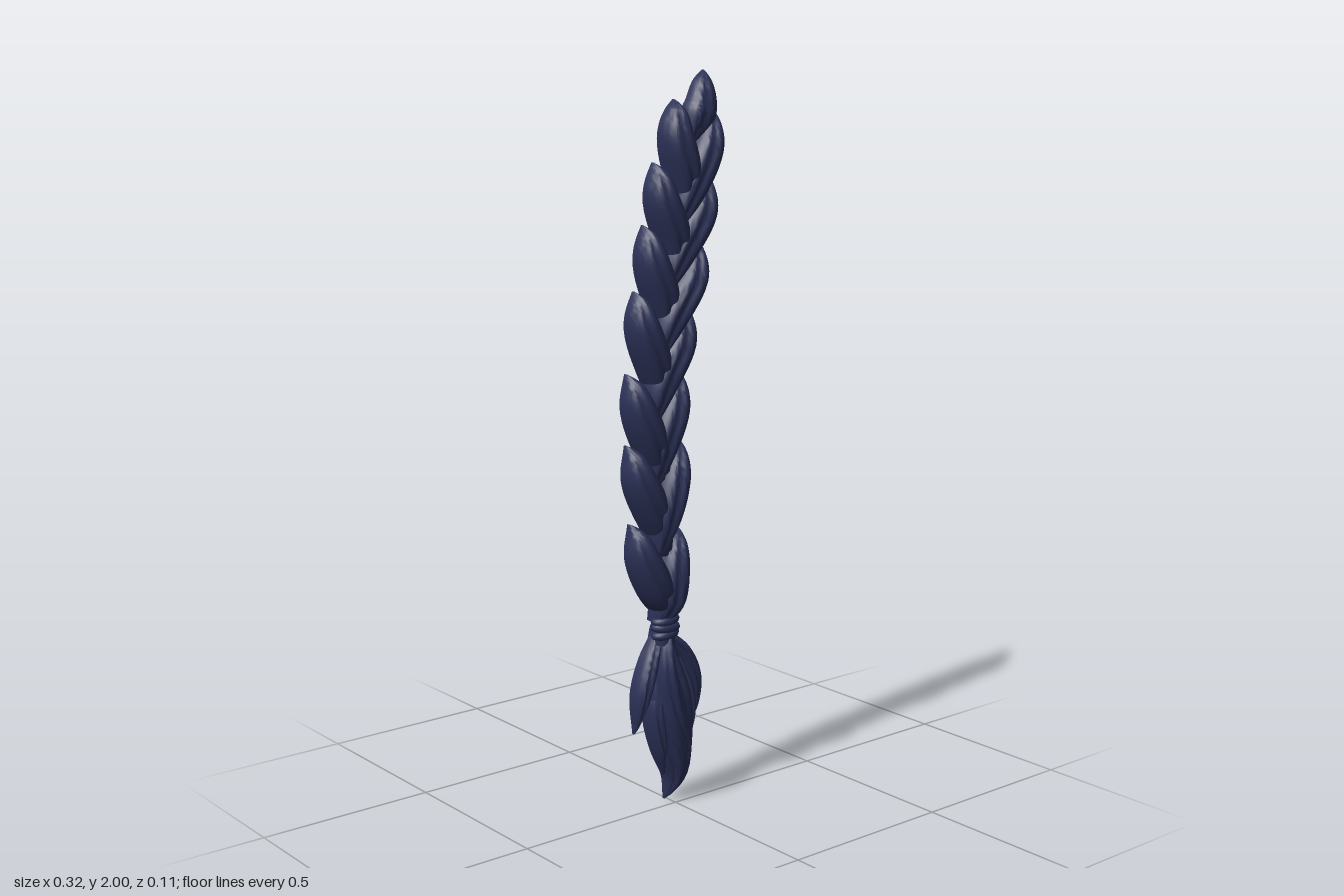
import * as THREE from 'three';
import { toCreasedNormals } from 'three/addons/utils/BufferGeometryUtils.js';

const hair = new THREE.MeshStandardMaterial({ color: 0x2b3157 });
hair.name = 'navy hair';

// A lock of hair: D-shaped sections (flat back, grooved dome in front) swept along [x, y, halfWidth] points
function lock(name, points, { back = -0.036, height = 0.08, grooves = 2, bulge = 0.004 } = {}) {
  const curve = new THREE.CatmullRomCurve3(points.map(p => new THREE.Vector3(...p)));
  const steps = 24, arc = 22, ring = arc + 2;
  const widest = Math.max(...points.map(p => p[2]));
  const pos = [], index = [];
  for (let i = 0; i <= steps; i++) {
    const t = i / steps;
    const p = curve.getPoint(t), d = curve.getTangent(t);
    const len = Math.hypot(d.x, d.y) || 1;
    const sx = -d.y / len, sy = d.x / len;
    const w = Math.max(p.z, 0.0008);
    const h = height * Math.min(1.05, Math.pow(w / widest, 0.6));
    for (let j = 0; j <= arc; j++) {
      const a = j / arc * Math.PI;
      const cut = Math.pow(Math.abs(Math.sin(grooves * a + 1.2 * t + 0.5)), 8);
      const u = w * Math.cos(a);
      const z = back + h * Math.pow(Math.max(0, Math.sin(a)), 0.75) * (1 - 0.12 * cut);
      pos.push(p.x + sx * u, p.y + sy * u, z);
    }
    // shallow ridge along the back
    pos.push(p.x, p.y, back - bulge * w / widest);
  }
  for (let i = 0; i < steps; i++) {
    for (let j = 0; j < ring; j++) {
      const a = i * ring + j, b = i * ring + (j + 1) % ring;
      index.push(a, b, a + ring, b, b + ring, a + ring);
    }
  }
  const geo = new THREE.BufferGeometry();
  geo.setAttribute('position', new THREE.Float32BufferAttribute(pos, 3));
  geo.setIndex(index);
  const mesh = new THREE.Mesh(toCreasedNormals(geo, 0.7), hair);
  mesh.name = name;
  return mesh;
}

// Seam between the two rows of plaits, as x for a given y
const seam = [[2, 0.1], [1.8, 0.065], [1.6, 0.02], [1.4, -0.025], [1.2, -0.055], [1, -0.06], [0.55, -0.035]];
function seamX(y) {
  for (let i = 1; i < seam.length; i++) {
    const [y0, x0] = seam[i - 1], [y1, x1] = seam[i];
    if (y >= y1) return x0 + (x1 - x0) * (y0 - y) / (y0 - y1);
  }
  return -0.035;
}

// One plait: pointed outer tip, full shoulder, tail tucked under the other row
function plait(name, side, [tipX, tipY, outerX, length = 1], height) {
  const midY = tipY - 0.2 * length, endY = Math.max(tipY - 0.33 * length, 0.53);
  return lock(name, [
    [tipX, tipY, 0.001],
    [tipX * 0.5 + (outerX - side * 0.043) * 0.5, tipY - 0.035, 0.027],
    [outerX - side * 0.044, tipY - 0.095, 0.045],
    [seamX(midY) + side * 0.012, midY, 0.046],
    [seamX(endY) - side * 0.025 * length, endY, 0.012],
  ], { height });
}

export function createModel() {
  const model = new THREE.Group();
  model.name = 'braid';

  // Plaits, from the top down: tip x, tip y, outermost x, length
  const rightRow = [
    [0.02, 1.925, -0.032], [-0.05, 1.765, -0.08], [-0.085, 1.605, -0.114], [-0.115, 1.435, -0.144],
    [-0.143, 1.22, -0.158], [-0.145, 1.03, -0.156], [-0.135, 0.815, -0.146],
  ];
  const leftRow = [
    [0.12, 2, 0.146, 0.6], [0.15, 1.895, 0.156], [0.128, 1.73, 0.135], [0.092, 1.56, 0.098],
    [0.055, 1.39, 0.064], [0.032, 1.215, 0.042], [0.03, 1.03, 0.038], [0.03, 0.785, 0.042],
  ];
  rightRow.forEach((p, i) => model.add(plait(`rightPlait${i + 1}`, -1, p, 0.08)));
  leftRow.forEach((p, i) => model.add(plait(`leftPlait${i + 1}`, 1, p, i === 0 ? 0.06 : i % 3 ? 0.082 : 0.092)));

  // Hair tie: wrapped bands and a loose end
  const tie = new THREE.Group();
  tie.name = 'hairTie';
  for (const [y, tilt, r] of [[0.538, 0.08, 0.032], [0.518, -0.06, 0.034], [0.499, 0.1, 0.031]]) {
    const band = new THREE.Mesh(new THREE.TorusGeometry(r, 0.0115, 8, 28), hair);
    band.name = 'tieBand';
    band.rotation.set(Math.PI / 2, tilt, 0);
    band.position.set(-0.032, y, -0.006);
    band.scale.y = 0.75;
    tie.add(band);
  }
  const core = new THREE.Mesh(new THREE.CylinderGeometry(0.03, 0.03, 0.09, 20), hair);
  core.name = 'tieCore';
  core.position.set(-0.032, 0.515, -0.006);
  core.scale.z = 0.8;
  tie.add(core);
  model.add(tie);

  // Loose tail below the tie
  model.add(
    lock('tail', [[-0.03, 0.51, 0.024], [-0.025, 0.42, 0.048], [-0.01, 0.3, 0.073], [0.008, 0.18, 0.06],
      [0.018, 0.08, 0.037], [-0.008, 0.005, 0.001]], { back: -0.046, height: 0.085, grooves: 3 }),
    lock('tailFrontLock', [[-0.03, 0.5, 0.012], [-0.04, 0.4, 0.028], [-0.015, 0.27, 0.03], [0.025, 0.17, 0.02],
      [0.03, 0.08, 0.001]], { back: -0.02, height: 0.067 }),
    lock('tailRightTip', [[-0.045, 0.4, 0.015], [-0.06, 0.28, 0.025], [-0.04, 0.17, 0.02], [-0.014, 0.075, 0.001]],
      { back: -0.042, height: 0.06 }),
    lock('tailLeftTip', [[0.02, 0.42, 0.012], [0.05, 0.32, 0.022], [0.062, 0.24, 0.016], [0.068, 0.17, 0.001]],
      { back: -0.04, height: 0.055 }),
    lock('rightWisp', [[-0.04, 0.495, 0.012], [-0.075, 0.42, 0.024], [-0.103, 0.33, 0.024], [-0.117, 0.22, 0.001]],
      { back: -0.042, height: 0.055 }),
    lock('leftWisp', [[-0.02, 0.495, 0.012], [0.035, 0.44, 0.022], [0.075, 0.36, 0.022], [0.101, 0.24, 0.001]],
      { back: -0.042, height: 0.055 }),
    lock('leftInnerWisp', [[0.02, 0.44, 0.01], [0.055, 0.37, 0.018], [0.08, 0.3, 0.012], [0.08, 0.23, 0.001]],
      { back: -0.042, height: 0.045 }),
  );
  return model;
}
